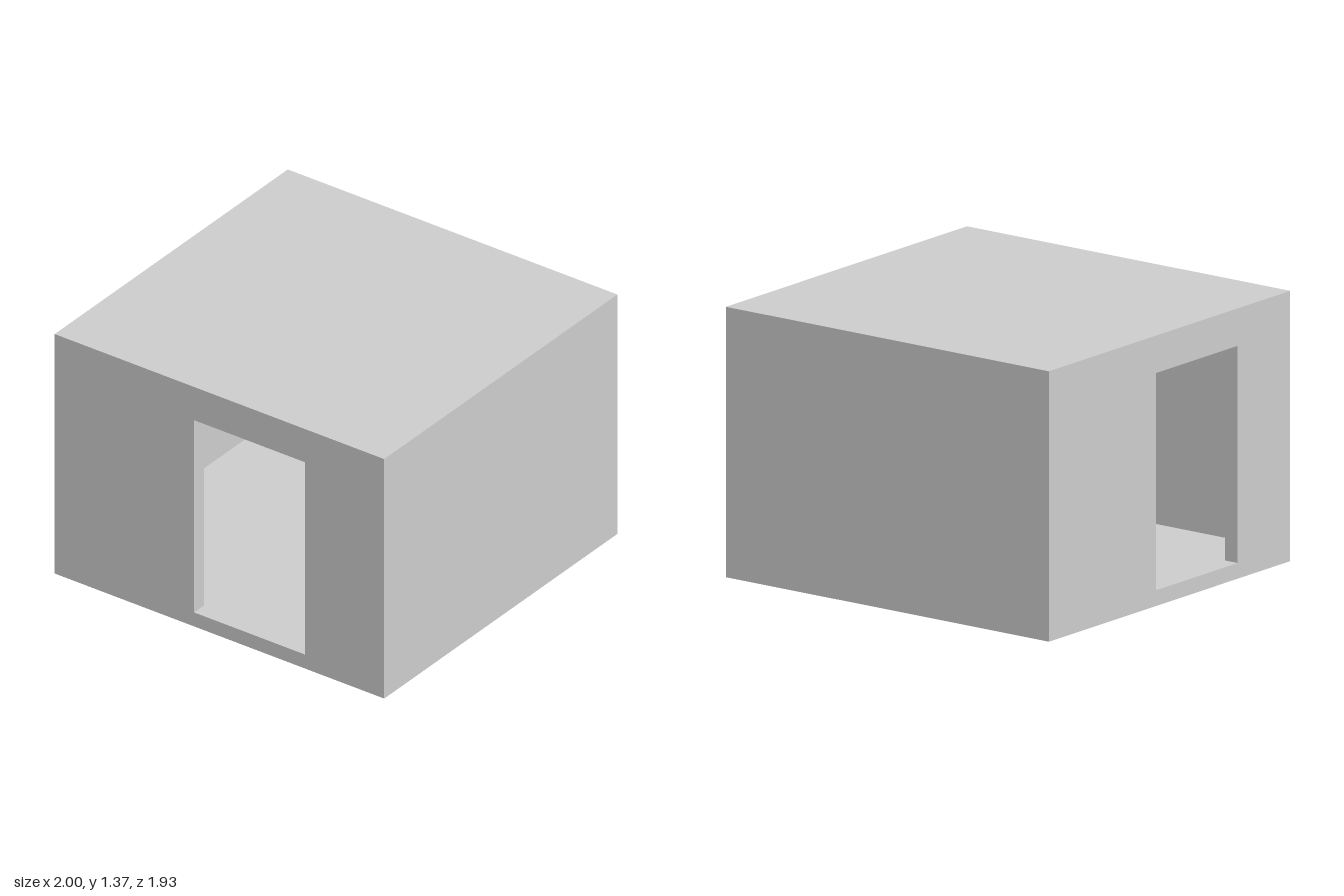
import * as THREE from 'three';

const W = 1, D = 0.965, H = 1.37; // half width, half depth, height
const T = 0.08;                   // thickness of walls, floor and roof
const DOOR_TOP = 1.18;

const material = new THREE.MeshStandardMaterial({ color: 0xcccccc, flatShading: true });

function addMesh(group, name, geometry, x, y, z) {
  const mesh = new THREE.Mesh(geometry, material);
  mesh.name = name;
  mesh.position.set(x, y, z);
  group.add(mesh);
  return mesh;
}

// Wall standing on the floor slab, with an optional doorway [from, to] open at the floor
function wallGeometry(half, door) {
  const points = [[-half, T]];
  if (door) {
    points.push([door[0], T], [door[0], DOOR_TOP], [door[1], DOOR_TOP], [door[1], T]);
  }
  points.push([half, T], [half, H - T], [-half, H - T]);
  const shape = new THREE.Shape(points.map(([u, v]) => new THREE.Vector2(u, v)));
  return new THREE.ExtrudeGeometry(shape, { depth: T, bevelEnabled: false });
}

export function createModel() {
  const room = new THREE.Group();
  room.name = 'room';

  // Floor and roof slabs
  const slab = new THREE.BoxGeometry(2 * W, T, 2 * D);
  addMesh(room, 'floor', slab, 0, T / 2, 0);
  addMesh(room, 'roof', slab, 0, H - T / 2, 0);

  // Front and back walls run the full width
  addMesh(room, 'frontWall', wallGeometry(W, [-0.153, 0.52]), 0, 0, D - T);
  addMesh(room, 'backWall', wallGeometry(W), 0, 0, -D);

  // Side walls fit between them; the one at -x has the second doorway
  const doorSide = addMesh(room, 'doorSideWall', wallGeometry(D - T, [-0.11, 0.545]), -W + T, 0, 0);
  doorSide.rotation.y = -Math.PI / 2;
  const plainSide = addMesh(room, 'plainSideWall', wallGeometry(D - T), W - T, 0, 0);
  plainSide.rotation.y = Math.PI / 2;

  return room;
}
